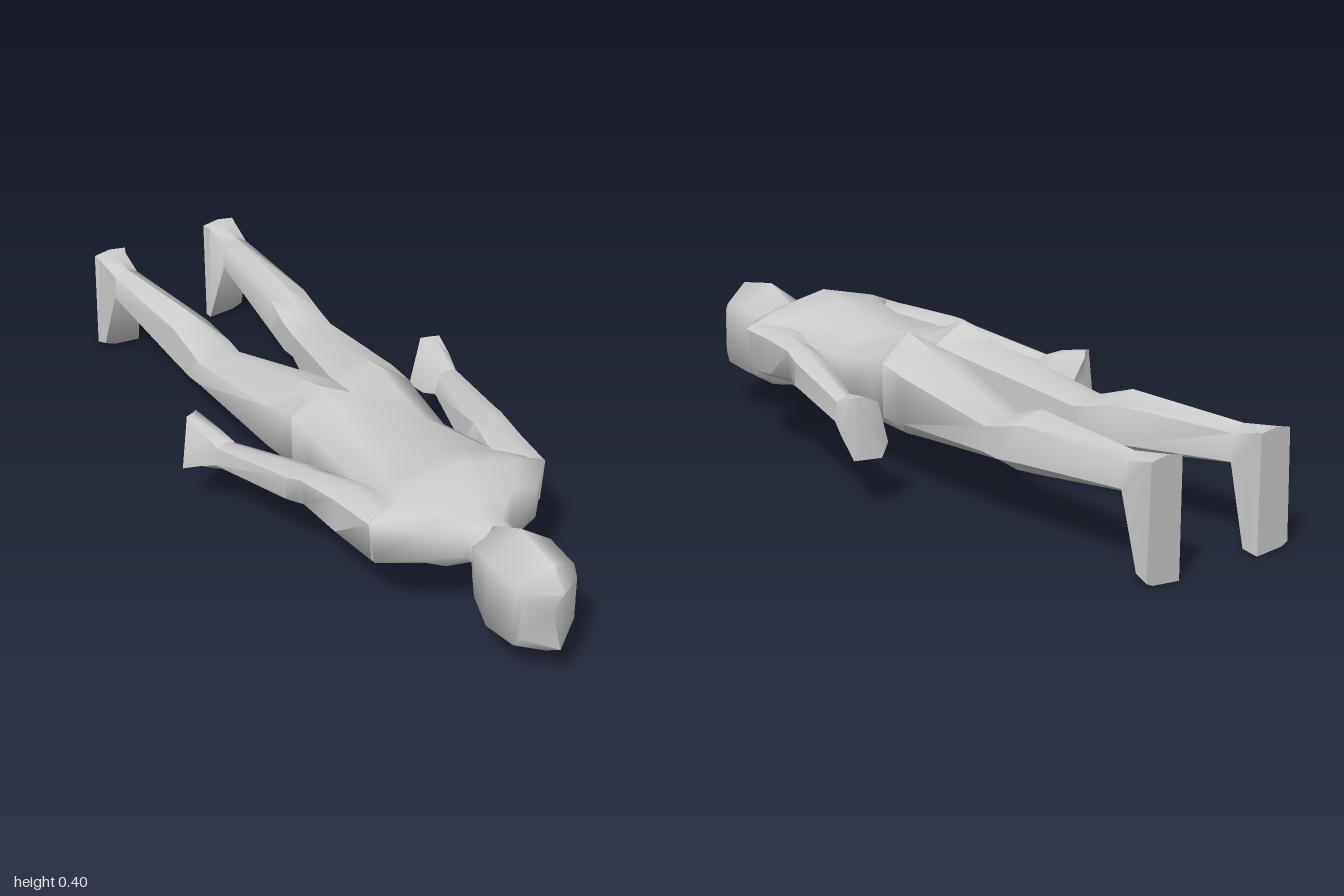
import * as THREE from 'three';
import { toCreasedNormals } from 'three/addons/utils/BufferGeometryUtils.js';

const material = new THREE.MeshStandardMaterial({ color: 0xcccccc });

// A ring of points around the body at depth z; a point may shift its own z
const ring = (z, ...pts) => pts.map(([x, y, dz = 0]) => new THREE.Vector3(x, y, z + dz));

// Completes a half ring (top centre to bottom centre) with its mirror image
const symmetric = (z, ...half) =>
  ring(z, ...half, ...half.slice(1, -1).reverse().map(([x, y, dz]) => [-x, y, dz]));

const mirrored = rings => rings.map(r => r.map(p => new THREE.Vector3(-p.x, p.y, p.z)).reverse());

// Skin over the rings from head end to foot end, closed at both ends
function loft(name, rings, crease = 1.0) {
  const n = rings[0].length, pos = [];
  const tri = (...pts) => pts.forEach(p => pos.push(p.x, p.y, p.z));
  const centre = r => r.reduce((s, p) => s.add(p), new THREE.Vector3()).divideScalar(n);
  const first = rings[0], last = rings[rings.length - 1];
  const c0 = centre(first), c1 = centre(last);
  for (let i = 0; i < n; i++) {
    const j = (i + 1) % n;
    tri(c0, first[j], first[i]);
    for (let k = 0; k < rings.length - 1; k++) {
      const a = rings[k], b = rings[k + 1];
      tri(a[i], a[j], b[i]);
      tri(a[j], b[j], b[i]);
    }
    tri(c1, last[i], last[j]);
  }
  const g = new THREE.BufferGeometry();
  g.setAttribute('position', new THREE.Float32BufferAttribute(pos, 3));
  const mesh = new THREE.Mesh(toCreasedNormals(g, crease), material);
  mesh.name = name;
  return mesh;
}

export function createModel() {
  const model = new THREE.Group();
  model.name = 'lyingFigure';

  // Head: ridged along the top and the face
  model.add(loft('head', [
    symmetric(0.945, [0, 0.295, 0.055], [0.078, 0.28], [0.078, 0.16], [0, 0.133, 0.055]),
    symmetric(0.925, [0, 0.352, 0.035], [0.083, 0.305], [0.083, 0.13], [0, 0.09, 0.015]),
    symmetric(0.82, [0, 0.373], [0.089, 0.31], [0.089, 0.12], [0, 0.068]),
    symmetric(0.73, [0, 0.325], [0.068, 0.285], [0.062, 0.135], [0, 0.085]),
    symmetric(0.70, [0, 0.305], [0.055, 0.27], [0.05, 0.18], [0, 0.155]),
  ], 1.3));

  // Neck, chest, waist and hips
  model.add(loft('torso', [
    symmetric(0.76, [0, 0.30], [0.03, 0.29], [0.05, 0.27], [0.05, 0.22], [0.03, 0.20], [0, 0.19]),
    symmetric(0.69, [0, 0.315], [0.04, 0.31], [0.065, 0.285], [0.065, 0.23], [0.04, 0.21], [0, 0.20]),
    symmetric(0.645, [0, 0.35], [0.10, 0.345], [0.175, 0.32], [0.175, 0.235], [0.09, 0.185], [0, 0.165]),
    symmetric(0.56, [0, 0.40], [0.17, 0.36], [0.26, 0.325], [0.243, 0.20], [0.09, 0.14], [0, 0.13]),
    symmetric(0.48, [0, 0.385], [0.15, 0.35], [0.20, 0.31], [0.19, 0.18], [0.10, 0.12], [0, 0.107]),
    symmetric(0.25, [0, 0.336], [0.10, 0.333], [0.163, 0.29], [0.16, 0.18], [0.09, 0.12], [0, 0.11]),
    symmetric(0.12, [0, 0.34], [0.09, 0.362], [0.17, 0.31], [0.168, 0.17], [0.10, 0.115], [0, 0.11]),
    symmetric(0.055, [0, 0.335], [0.09, 0.385], [0.18, 0.315], [0.178, 0.17], [0.10, 0.11], [0, 0.112]),
  ], 1.3));

  // Left leg: buttock, thigh, knee, calf and ankle
  const leg = [
    ring(0.055, [0, 0.335], [0.09, 0.385], [0.18, 0.315], [0.178, 0.17], [0.10, 0.11], [0, 0.112]),
    ring(-0.05, [0.003, 0.322], [0.10, 0.358], [0.195, 0.30], [0.193, 0.175], [0.11, 0.12], [0.003, 0.14]),
    ring(-0.395, [0.085, 0.25], [0.14, 0.27], [0.208, 0.25], [0.212, 0.185], [0.15, 0.15], [0.085, 0.18]),
    ring(-0.45, [0.087, 0.26], [0.14, 0.285], [0.208, 0.262], [0.213, 0.18], [0.15, 0.14], [0.09, 0.17]),
    ring(-0.545, [0.102, 0.28], [0.15, 0.315], [0.21, 0.285], [0.217, 0.19], [0.16, 0.152], [0.10, 0.18]),
    ring(-0.895, [0.145, 0.28], [0.18, 0.30], [0.215, 0.28], [0.22, 0.215], [0.18, 0.197], [0.14, 0.21]),
  ];

  // Left foot: toes hanging down, flat sole facing back
  const sole = [[0.13, 0.305], [0.18, 0.313], [0.228, 0.305], [0.235, 0.017], [0.215, 0.008], [0.13, 0.001]];
  const foot = [
    leg[leg.length - 1],
    ring(-0.96, [0.14, 0.302, -0.02], [0.18, 0.31, -0.02], [0.224, 0.302, -0.02],
      [0.23, 0.03], [0.20, 0.018], [0.122, 0.012]),
    ring(-1, ...sole),
  ];

  // Left arm: shoulder, elbow, forearm and wrist
  const arm = [
    ring(0.56, [0.16, 0.33], [0.22, 0.338], [0.26, 0.322], [0.25, 0.21], [0.22, 0.19], [0.16, 0.20]),
    ring(0.43, [0.175, 0.325], [0.225, 0.34], [0.277, 0.32], [0.275, 0.225], [0.22, 0.195], [0.172, 0.22]),
    ring(0.31, [0.215, 0.31], [0.262, 0.33], [0.30, 0.315], [0.292, 0.24], [0.25, 0.215], [0.20, 0.225]),
    ring(0.26, [0.222, 0.30], [0.27, 0.32], [0.314, 0.30], [0.315, 0.235], [0.265, 0.205], [0.215, 0.215]),
    ring(0.0, [0.315, 0.255], [0.34, 0.265], [0.368, 0.255], [0.375, 0.205], [0.345, 0.185], [0.302, 0.20]),
  ];

  // Left hand: a mitten standing on edge
  const hand = [
    arm[arm.length - 1],
    ring(-0.05, [0.332, 0.275], [0.36, 0.285], [0.38, 0.275], [0.392, 0.18], [0.345, 0.155], [0.297, 0.178]),
    ring(-0.12, [0.35, 0.285, -0.03], [0.375, 0.296, -0.005], [0.392, 0.295],
      [0.408, 0.134, -0.005], [0.335, 0.134, -0.025], [0.30, 0.165, -0.005]),
  ];

  // Both sides
  const limbs = { Leg: leg, Foot: foot, Arm: arm, Hand: hand };
  for (const [part, rings] of Object.entries(limbs)) {
    model.add(loft('left' + part, rings));
    model.add(loft('right' + part, mirrored(rings)));
  }
  return model;
}
